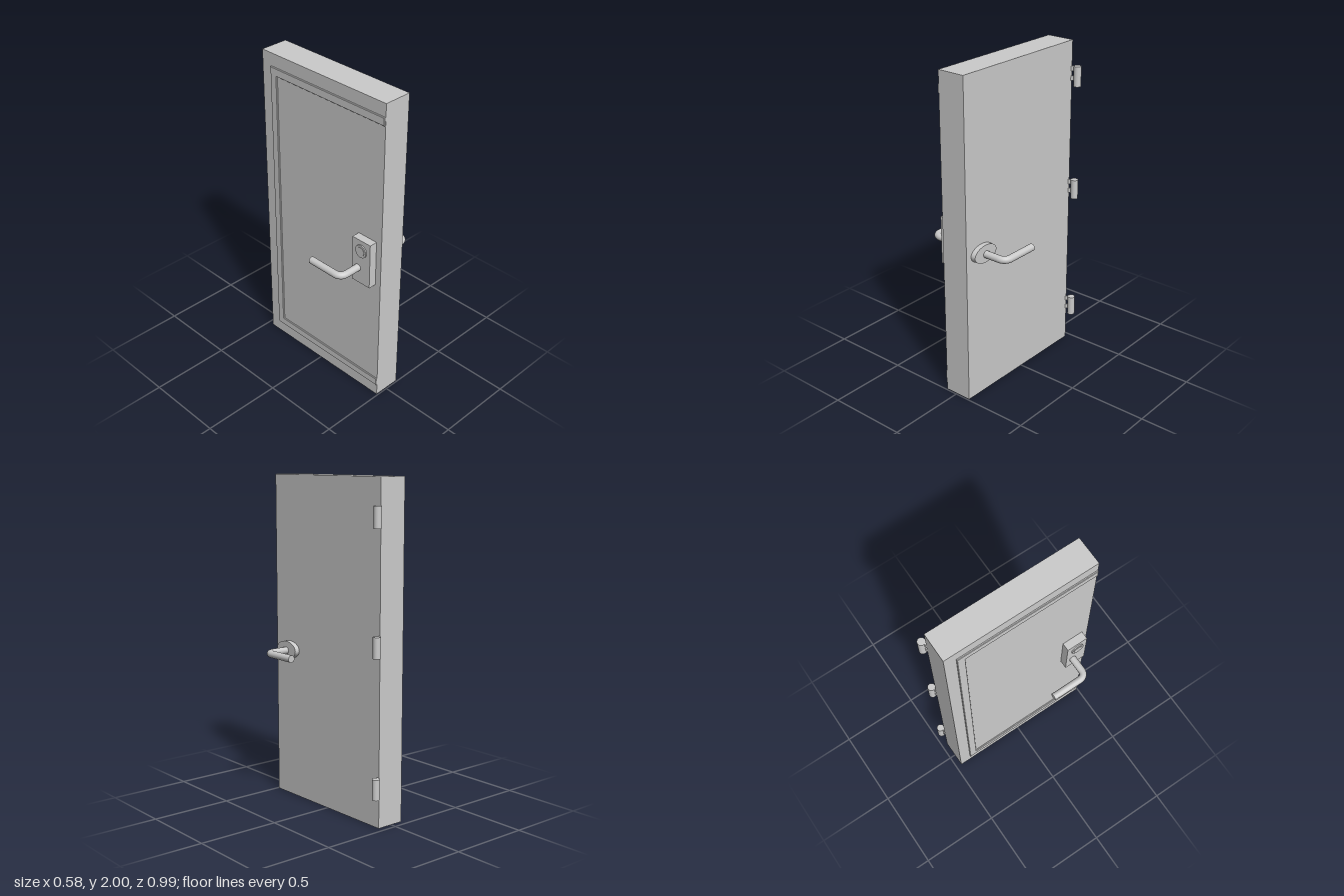
import * as THREE from 'three';

const material = new THREE.MeshStandardMaterial({ color: 0xcccccc });

function part(parent, name, geometry, x = 0, y = 0, z = 0) {
  const mesh = new THREE.Mesh(geometry, material);
  mesh.name = name;
  mesh.position.set(x, y, z);
  parent.add(mesh);
  return mesh;
}

// Lever: straight neck, rounded elbow, straight grip; side is +1 or -1 in x
function lever(side) {
  const y = 0.927, z = 0.36, reach = 0.27, bend = 0.05;
  const p = (x, pz) => new THREE.Vector3(side * x, y, pz);
  const path = new THREE.CurvePath();
  path.add(new THREE.LineCurve3(p(0.085, z), p(reach - bend, z)));
  path.add(new THREE.QuadraticBezierCurve3(p(reach - bend, z), p(reach, z), p(reach, z - bend)));
  path.add(new THREE.LineCurve3(p(reach, z - bend), p(reach, 0.122)));
  const group = new THREE.Group();
  group.name = side > 0 ? 'outerHandle' : 'innerHandle';
  part(group, 'lever', new THREE.TubeGeometry(path, 48, 0.022, 20, false));
  // Flat caps closing the grip end and the neck
  const cap = part(group, 'leverEnd', new THREE.CircleGeometry(0.022, 20), side * reach, y, 0.122);
  cap.rotation.y = Math.PI;
  return group;
}

// Hinge: upright knuckle with two short tabs reaching the door edge
function hinge(bottom) {
  const group = new THREE.Group();
  group.name = 'hinge';
  group.position.set(0.13, bottom, -0.473);
  part(group, 'knuckle', new THREE.CylinderGeometry(0.023, 0.023, 0.123, 24), 0, 0.0615, 0);
  for (const y of [0.048, 0.107]) {
    const tab = part(group, 'hingeTab', new THREE.BoxGeometry(0.05, 0.03, 0.01), -0.024, y, 0.011);
    tab.rotation.y = Math.atan2(0.022, 0.048);
  }
  return group;
}

export function createModel() {
  const model = new THREE.Group();
  model.name = 'door';

  // Door slab
  part(model, 'slab', new THREE.BoxGeometry(0.177, 2, 0.955), 0.0085, 1, 0.0145);

  // Raised three-sided trim, open at the latch edge (drawn in z, y)
  const trim = new THREE.Shape([
    [-0.391, 0.078], [0.491, 0.078], [0.491, 0.128], [-0.342, 0.128],
    [-0.342, 1.87], [0.491, 1.87], [0.491, 1.92], [-0.391, 1.92],
  ].map(([z, y]) => new THREE.Vector2(z, y)));
  const trimGeometry = new THREE.ExtrudeGeometry(trim, {
    depth: 0.008, bevelEnabled: true, bevelThickness: 0.003,
    bevelSize: 0.003, bevelOffset: -0.003, bevelSegments: 1,
  });
  trimGeometry.rotateY(-Math.PI / 2);
  part(model, 'trim', trimGeometry, -0.078, 0, 0);

  // Lock plate with a stepped lock cylinder on the inner side
  part(model, 'lockPlate', new THREE.BoxGeometry(0.052, 0.295, 0.138), -0.105, 0.9725, 0.384);
  const ring = part(model, 'lockRing', new THREE.CylinderGeometry(0.041, 0.041, 0.012, 32), -0.133, 1.052, 0.386);
  ring.rotation.z = Math.PI / 2;
  const core = part(model, 'lockCore', new THREE.CylinderGeometry(0.028, 0.028, 0.012, 32), -0.135, 1.052, 0.386);
  core.rotation.z = Math.PI / 2;

  // Oval rosette on the outer side
  const oval = new THREE.CylinderGeometry(1, 1, 0.036, 40);
  oval.rotateZ(Math.PI / 2).scale(1, 0.054, 0.092);
  part(model, 'rosette', oval, 0.11, 0.931, 0.362);

  model.add(lever(1), lever(-1));
  for (const bottom of [0.183, 1.002, 1.722]) model.add(hinge(bottom));
  return model;
}
